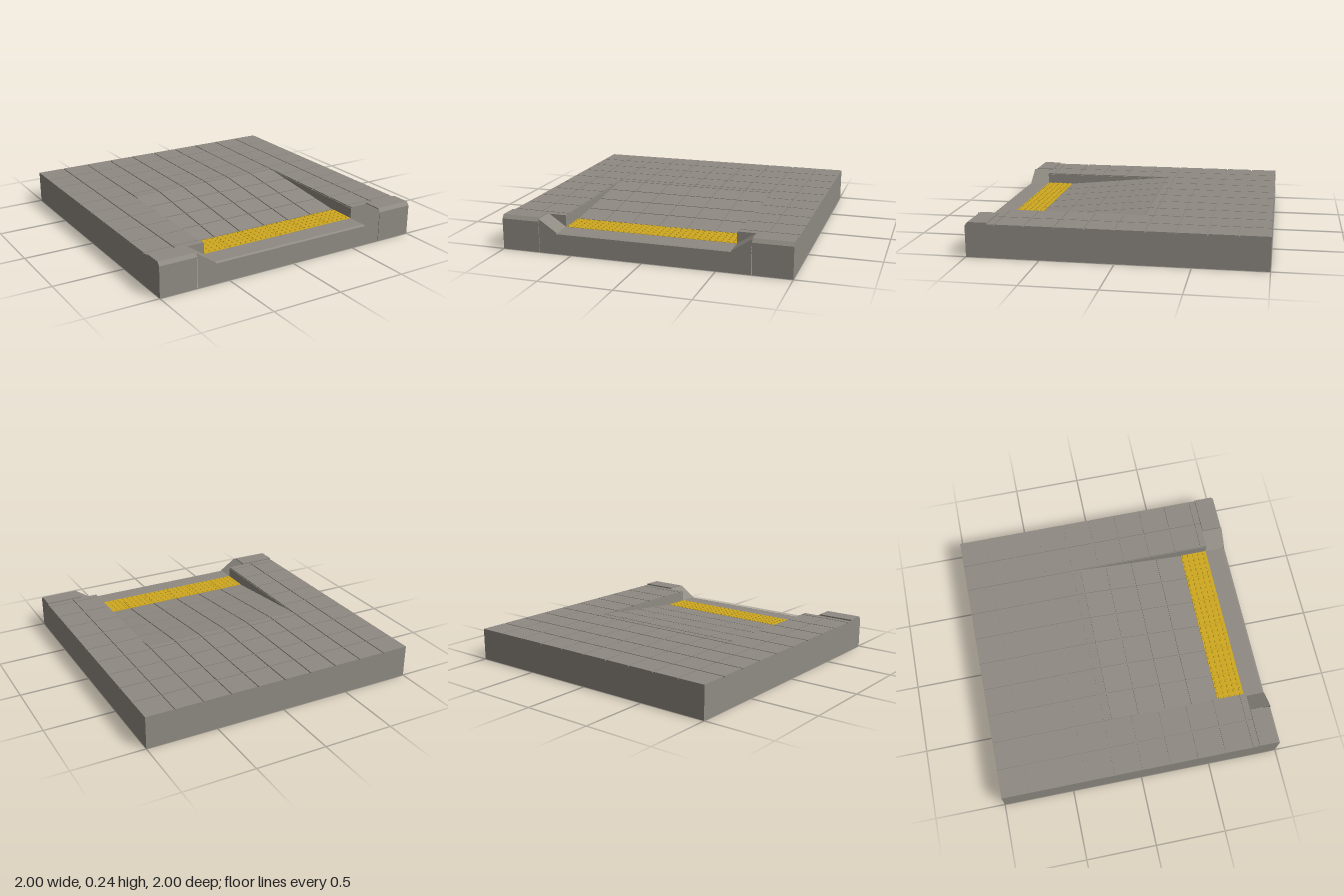
import * as THREE from 'three';
import { mergeGeometries } from 'three/addons/utils/BufferGeometryUtils.js';

const concrete = new THREE.MeshStandardMaterial({ name: 'concrete grey', color: 0x8f8b83, side: THREE.DoubleSide });
const yellow = new THREE.MeshStandardMaterial({ name: 'tactile yellow', color: 0xcfa820 });

const TOP = 0.23, LOW = 0.15, UNDER = 0.14, SKIN = 0.008, GAP = 0.004;
const FRONT = 0.85, RAMP0 = -0.14, RAMP1 = 0.65, HALF = 0.6, OPEN = 0.73;

// Box given by its two extreme corners
function box(x0, x1, y0, y1, z0, z1) {
  return new THREE.BoxGeometry(x1 - x0, y1 - y0, z1 - z0)
    .translate((x0 + x1) / 2, (y0 + y1) / 2, (z0 + z1) / 2);
}

// Profile of [z, y] points pulled along x
function pull(points, x0, x1) {
  const shape = new THREE.Shape(points.map(p => new THREE.Vector2(...p)));
  return new THREE.ExtrudeGeometry(shape, { depth: x1 - x0, bevelEnabled: false })
    .rotateY(-Math.PI / 2).translate(x1, 0, 0);
}

// Cut positions: both ends plus every multiple of 0.2 between, counted from an origin
function cuts(a, b, origin = -1) {
  const list = [a];
  for (let i = 0; i < 12; i++) {
    const v = origin + i * 0.2;
    if (v > a + 0.01 && v < b - 0.01) list.push(v);
  }
  return [...list, b];
}

// Level paving slabs with narrow joints, flush with the outer edges
function paving(x0, x1, z0, z1) {
  const out = [], xs = cuts(x0, x1), zs = cuts(z0, z1);
  const outer = v => (Math.abs(v) > 0.999 || v === FRONT ? 0 : GAP);
  for (let i = 0; i < xs.length - 1; i++) for (let j = 0; j < zs.length - 1; j++) {
    out.push(box(xs[i] + outer(xs[i]), xs[i + 1] - outer(xs[i + 1]), TOP - SKIN, TOP,
      zs[j] + outer(zs[j]), zs[j + 1] - outer(zs[j + 1])));
  }
  return out;
}

export function createModel() {
  const group = new THREE.Group();
  const add = (name, geometry, material) => {
    const mesh = new THREE.Mesh(geometry, material);
    mesh.name = name;
    group.add(mesh);
  };

  // Bed under the paving, with the ramp cut into its middle
  const bed = TOP - SKIN;
  add('pavementBed', mergeGeometries([
    box(-1, -HALF, UNDER, bed, -1, FRONT),
    box(HALF, 1, UNDER, bed, -1, FRONT),
  ]), concrete);
  add('rampBed', pull([[-1, UNDER], [FRONT, UNDER], [FRONT, LOW - SKIN], [RAMP1, LOW - SKIN],
    [RAMP0, bed], [-1, bed]], -HALF, HALF), concrete);

  // Thin skirt walls, open below
  const t = 0.004;
  add('skirt', mergeGeometries([
    box(-1, 1, 0, UNDER, -1, -1 + t),
    box(-1, -1 + t, 0, UNDER, -1, FRONT),
    box(1 - t, 1, 0, UNDER, -1, FRONT),
  ]), concrete);

  // Level paving around the ramp
  add('pavingSlabs', mergeGeometries([
    ...paving(-1, -HALF, -1, FRONT),
    ...paving(HALF, 1, -1, FRONT),
    ...paving(-HALF, HALF, -1, RAMP0),
  ]), concrete);

  // Sloped slabs on the ramp
  const run = RAMP1 - RAMP0, drop = TOP - LOW, slope = Math.atan2(drop, run);
  const rampTiles = [], rows = 4, length = Math.hypot(run, drop) / rows;
  for (let i = 0; i < 6; i++) for (let j = 0; j < rows; j++) {
    const f = (j + 0.5) / rows;
    rampTiles.push(new THREE.BoxGeometry(0.2 - 2 * GAP, SKIN, length - 2 * GAP)
      .translate(0, -SKIN / 2, 0).rotateX(slope)
      .translate(-0.5 + i * 0.2, TOP - drop * f, RAMP0 + run * f));
  }
  add('rampSlabs', mergeGeometries(rampTiles), concrete);

  // Tactile strip: six plates with rows of flat studs
  const plates = [], studs = [], n = 5;
  for (let i = 0; i < 6; i++) {
    const x0 = -HALF + i * 0.2;
    plates.push(box(x0 + 0.001, x0 + 0.199, LOW - SKIN, LOW, RAMP1 + 0.003, FRONT));
    for (let a = 0; a < n; a++) for (let b = 0; b < n; b++) {
      studs.push(new THREE.CylinderGeometry(0.009, 0.012, 0.006, 10).translate(
        x0 + (a + 0.5) * 0.2 / n, LOW + 0.003, RAMP1 + (b + 0.5) * (FRONT - RAMP1) / n));
    }
  }
  add('tactilePlates', mergeGeometries(plates), yellow);
  add('tactileStuds', mergeGeometries(studs), yellow);

  // Kerb stones: two full height, one dropped in the middle
  const kerb = (h, dz, dy) => [[FRONT, 0], [1, 0], [1, h - dy], [1 - dz, h], [FRONT, h]];
  add('kerbRight', pull(kerb(0.24, 0.02, 0.025), -1, -OPEN - 0.003), concrete);
  add('kerbLeft', pull(kerb(0.24, 0.02, 0.025), OPEN + 0.003, 1), concrete);
  add('droppedKerb', pull(kerb(LOW - 0.002, 0.012, 0.008), -HALF, HALF), concrete);

  // Sloping transition kerbs, hollow below: front face and sloped top
  for (const s of [-1, 1]) {
    const a = s * HALF, b = s * OPEN, h = 0.235;
    const quads = [
      [[a, 0, 1], [b, 0, 1], [b, h, 1], [a, LOW - 0.002, 1]],
      [[a, LOW - 0.002, 1], [b, h, 1], [b, h, FRONT], [a, LOW - 0.002, FRONT]],
    ];
    const order = s > 0 ? [0, 1, 2, 0, 2, 3] : [0, 2, 1, 0, 3, 2];
    const wing = new THREE.BufferGeometry();
    wing.setAttribute('position', new THREE.Float32BufferAttribute(
      quads.flatMap(q => order.flatMap(i => q[i])), 3));
    wing.computeVertexNormals();
    add(s > 0 ? 'transitionKerbLeft' : 'transitionKerbRight', wing, concrete);
  }
  return group;
}
